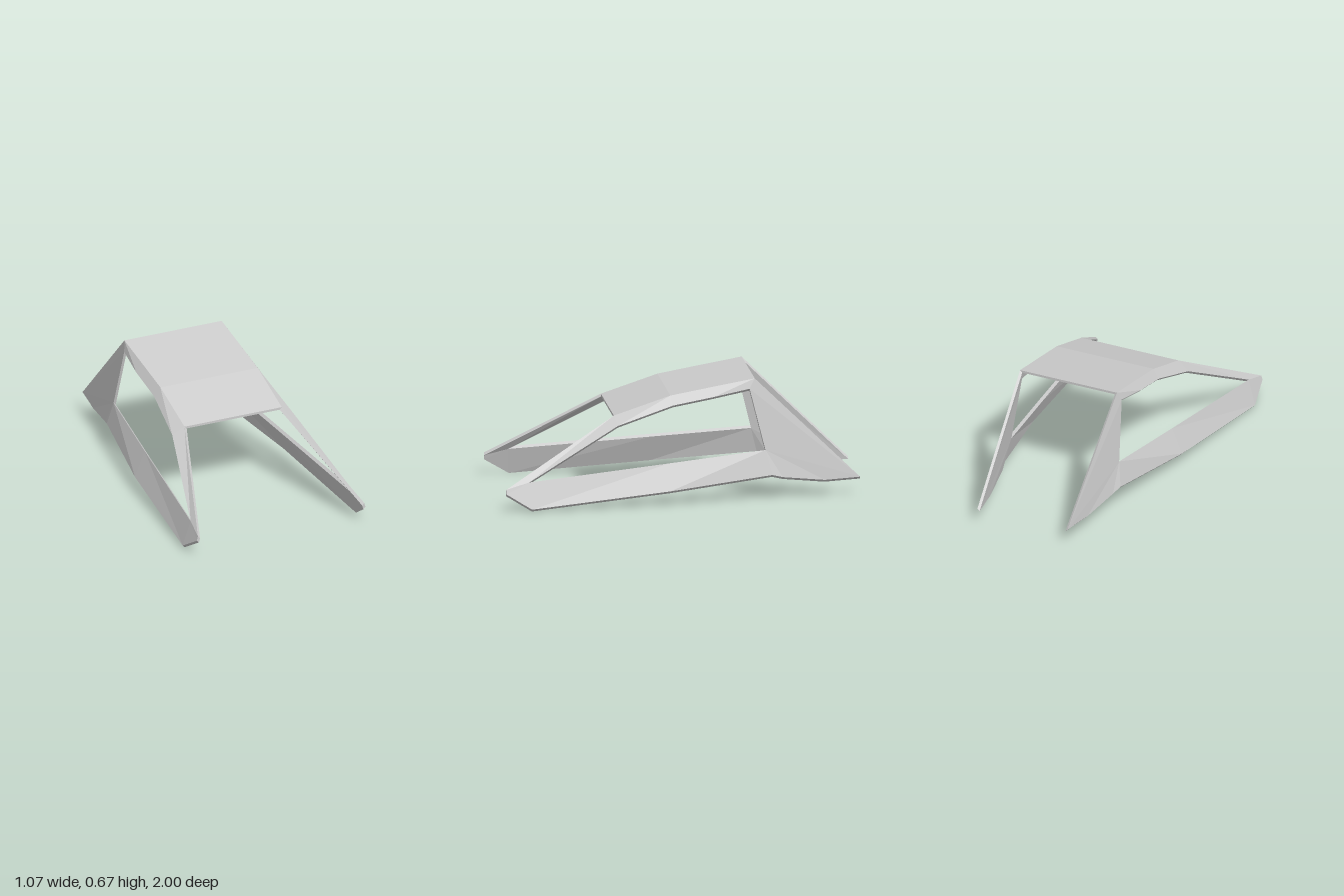
import * as THREE from 'three';

const frameGrey = new THREE.MeshStandardMaterial({ color: 0xcccccc });
frameGrey.name = 'frameGrey';

const ROOF_X = 0.297;
const THICK = 0.013;

// Window opening corners [x, y, z]
const open = {
  nose: [0.492, 0.165, 0.87],
  pillar: [0.365, 0.445, 0.36],
  roofFront: [0.332, 0.545, 0.05],
  roofMid: [0.331, 0.588, -0.18],
  roofRear: [0.312, 0.625, -0.38],
  sail: [0.337, 0.282, -0.465],
  sill: [0.402, 0.234, 0.08],
};

// Pairs of outer edge point and window edge point, running nose, roof, tail, sill
const ring = [
  [[0.508, 0.13, 1.0], open.nose],
  [[ROOF_X, 0.49, 0.375], open.pillar],
  [[ROOF_X, 0.595, 0.06], open.roofFront],
  [[ROOF_X, 0.639, -0.18], open.roofMid],
  [[ROOF_X, 0.68, -0.41], open.roofRear],
  [[0.276, 0.105, -1.0], open.sail],
  [[0.305, 0.098, -0.8], open.sail],
  [[0.345, 0.128, -0.56], open.sail],
  [[0.362, 0.145, -0.5], open.sail],
  [[0.462, 0.088, 0.08], open.sill],
  [[0.536, 0.02, 0.86], open.nose],
  [[0.515, 0.105, 1.0], open.nose],
];

// Thin closed side shell; side is +1 for left, -1 for right
function sideFrame(side) {
  const pos = [];
  const inner = (p) => [p[0] - THICK, p[1] - THICK, p[2]];
  const tri = (a, b, c) => {
    if (a === b || b === c || a === c) return;
    const order = side > 0 ? [a, b, c] : [a, c, b];
    for (const p of order) pos.push(p[0] * side, p[1], p[2]);
  };
  const quad = (a, b, c, d) => { tri(a, b, c); tri(a, c, d); };

  ring.forEach(([o0, h0], i) => {
    const [o1, h1] = ring[(i + 1) % ring.length];
    const [p0, p1, q0, q1] = [o0, o1, h0, h1].map(inner);
    // outer skin and inner skin
    tri(o0, h0, o1);
    if (h0 !== h1) tri(o1, h0, h1);
    tri(p0, p1, q0);
    if (h0 !== h1) tri(p1, q1, q0);
    // outer rim and window rim
    quad(o0, o1, p1, p0);
    if (h0 !== h1) quad(h1, h0, q0, q1);
  });

  const geo = new THREE.BufferGeometry();
  geo.setAttribute('position', new THREE.Float32BufferAttribute(pos, 3));
  geo.computeVertexNormals();
  const mesh = new THREE.Mesh(geo, frameGrey);
  mesh.name = side > 0 ? 'leftSideFrame' : 'rightSideFrame';
  return mesh;
}

// Curved roof slab, drawn as a side profile and extruded across the width
function roofPanel() {
  const top = ring.slice(1, 5).map(([o]) => new THREE.Vector2(o[2], o[1]));
  const under = top.map((p) => new THREE.Vector2(p.x, p.y - THICK)).reverse();
  const geo = new THREE.ExtrudeGeometry(new THREE.Shape([...top, ...under]), {
    depth: ROOF_X * 2, bevelEnabled: false,
  });
  geo.translate(0, 0, -ROOF_X);
  geo.rotateY(-Math.PI / 2);
  const mesh = new THREE.Mesh(geo, frameGrey);
  mesh.name = 'roofPanel';
  return mesh;
}

export function createModel() {
  const group = new THREE.Group();
  group.name = 'cabinFrame';
  group.add(roofPanel(), sideFrame(1), sideFrame(-1));
  return group;
}
